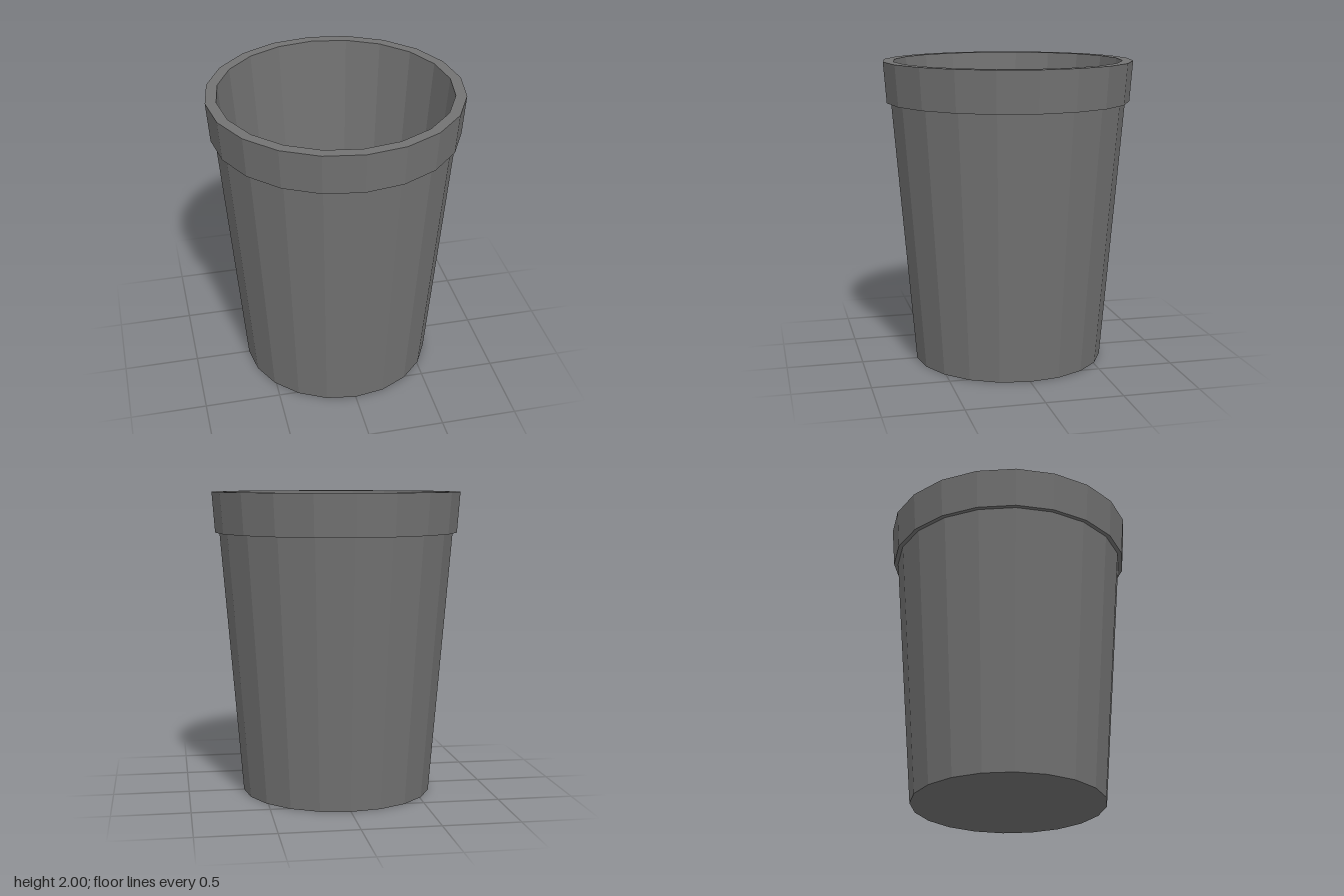
import * as THREE from 'three';

const SIDES = 20;

export function createModel() {
  const cup = new THREE.Group();
  cup.name = 'cup';
  const material = new THREE.MeshStandardMaterial({ color: 0x727272, flatShading: true });

  // Revolves [radius, height] points into a faceted ring
  const addLathe = (name, profile) => {
    const points = profile.map(([r, y]) => new THREE.Vector2(r, y));
    const mesh = new THREE.Mesh(new THREE.LatheGeometry(points, SIDES), material);
    mesh.name = name;
    cup.add(mesh);
  };

  // Underside and tapered outer wall
  addLathe('outerWall', [[0, 0], [0.63, 0], [0.772, 1.735]]);
  // Thicker band around the mouth, with its lower step and flat top
  addLathe('rim', [[0.772, 1.735], [0.8, 1.735], [0.82, 2], [0.75, 2]]);
  // Hollow inside, from the mouth down to the floor
  addLathe('innerWall', [[0.75, 2], [0.587, 0.04], [0, 0.04]]);

  return cup;
}
